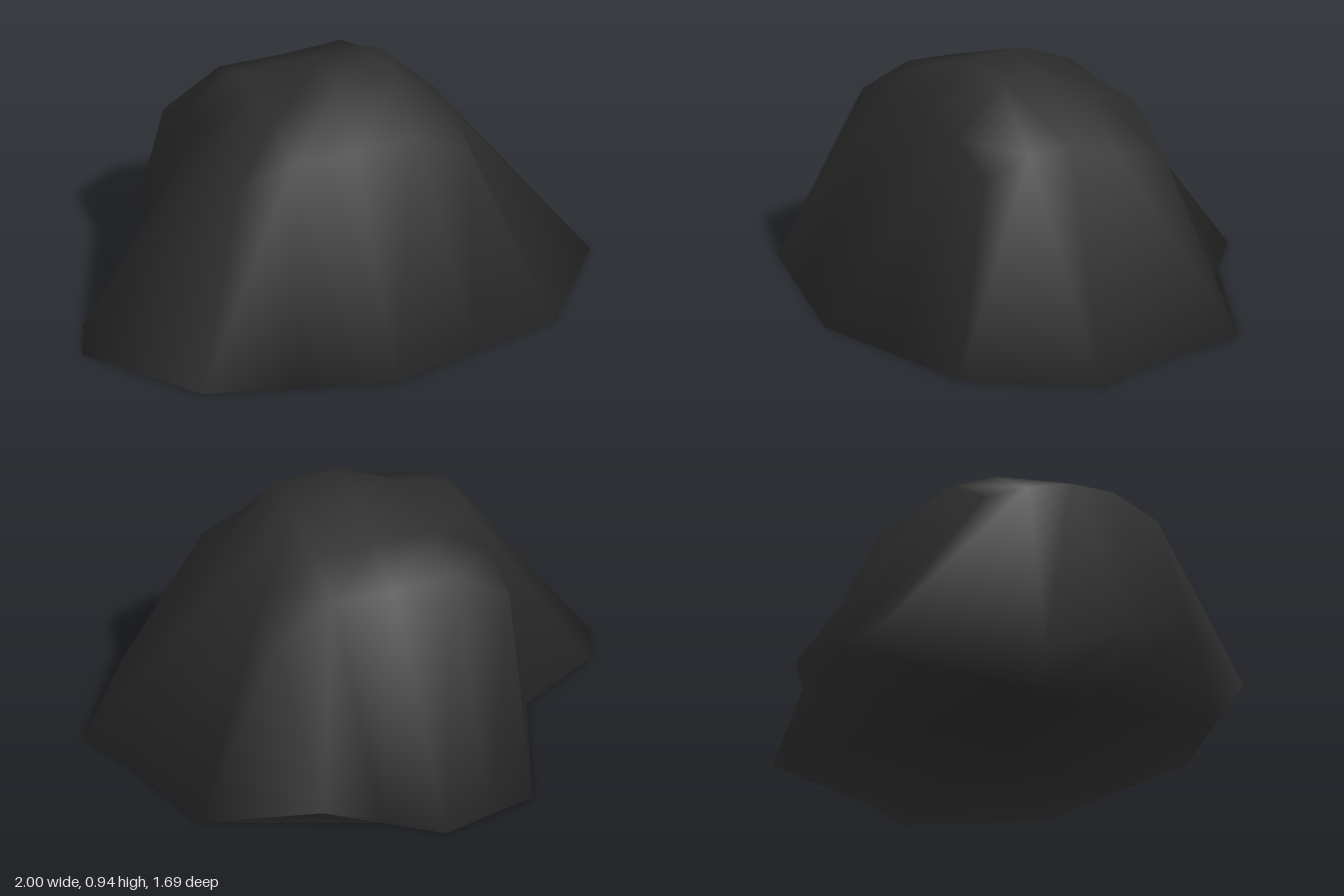
import * as THREE from 'three';
import { mergeVertices } from 'three/addons/utils/BufferGeometryUtils.js';

// Plateau grid: columns in x, rows in z (back to front)
const XS = [-0.46, -0.24, 0, 0.24, 0.455];
const ZS = [-0.32, -0.13, 0.06, 0.24, 0.43];

// Plateau heights, one row per z, back to front
const HEIGHTS = [
  [0.61, 0.745, 0.74, 0.75, 0.62],
  [0.70, 0.83, 0.83, 0.83, 0.65],
  [0.76, 0.83, 0.94, 0.94, 0.72],
  [0.77, 0.83, 0.94, 0.94, 0.72],
  [0.70, 0.75, 0.75, 0.75, 0.65],
];

// Foot outline [x, z] for the edge cells of the grid
const FOOT_BACK = [[-0.38, -0.74], [-0.19, -0.79], [0, -0.845], [0.19, -0.695], [0.37, -0.55]];
const FOOT_FRONT = [[-0.69, 0.66], [-0.35, 0.75], [0, 0.845], [0.35, 0.75], [0.69, 0.66]];
const FOOT_LEFT = [null, [0.81, -0.44], [0.915, 0.05], [1, 0.24]];
const FOOT_RIGHT = [null, [-0.6, -0.14], [-0.92, 0.05], [-1, 0.24]];

function footPoint(i, j) {
  if (j === 0) return FOOT_BACK[i];
  if (j === 4) return FOOT_FRONT[i];
  if (i === 0) return FOOT_RIGHT[j];
  if (i === 4) return FOOT_LEFT[j];
  return [XS[i], ZS[j]];
}

export function createModel() {
  const group = new THREE.Group();
  group.name = 'rock';

  const stone = new THREE.MeshStandardMaterial({ color: 0x2d2d2d });
  stone.name = 'dark stone';

  // Subdivided box with welded corners, so shading flows over every edge
  const box = new THREE.BoxGeometry(4, 1, 4, 4, 1, 4);
  box.deleteAttribute('normal');
  box.deleteAttribute('uv');
  box.clearGroups();
  const geometry = mergeVertices(box);

  // Raise the lid into a bumpy plateau and spread the floor into the foot
  const pos = geometry.attributes.position;
  for (let n = 0; n < pos.count; n++) {
    const i = Math.round(pos.getX(n)) + 2;
    const j = Math.round(pos.getZ(n)) + 2;
    if (pos.getY(n) > 0) {
      pos.setXYZ(n, XS[i], HEIGHTS[j][i], ZS[j]);
    } else {
      const [x, z] = footPoint(i, j);
      pos.setXYZ(n, x, 0, z);
    }
  }
  geometry.computeVertexNormals();

  const boulder = new THREE.Mesh(geometry, stone);
  boulder.name = 'boulder';
  group.add(boulder);
  return group;
}
